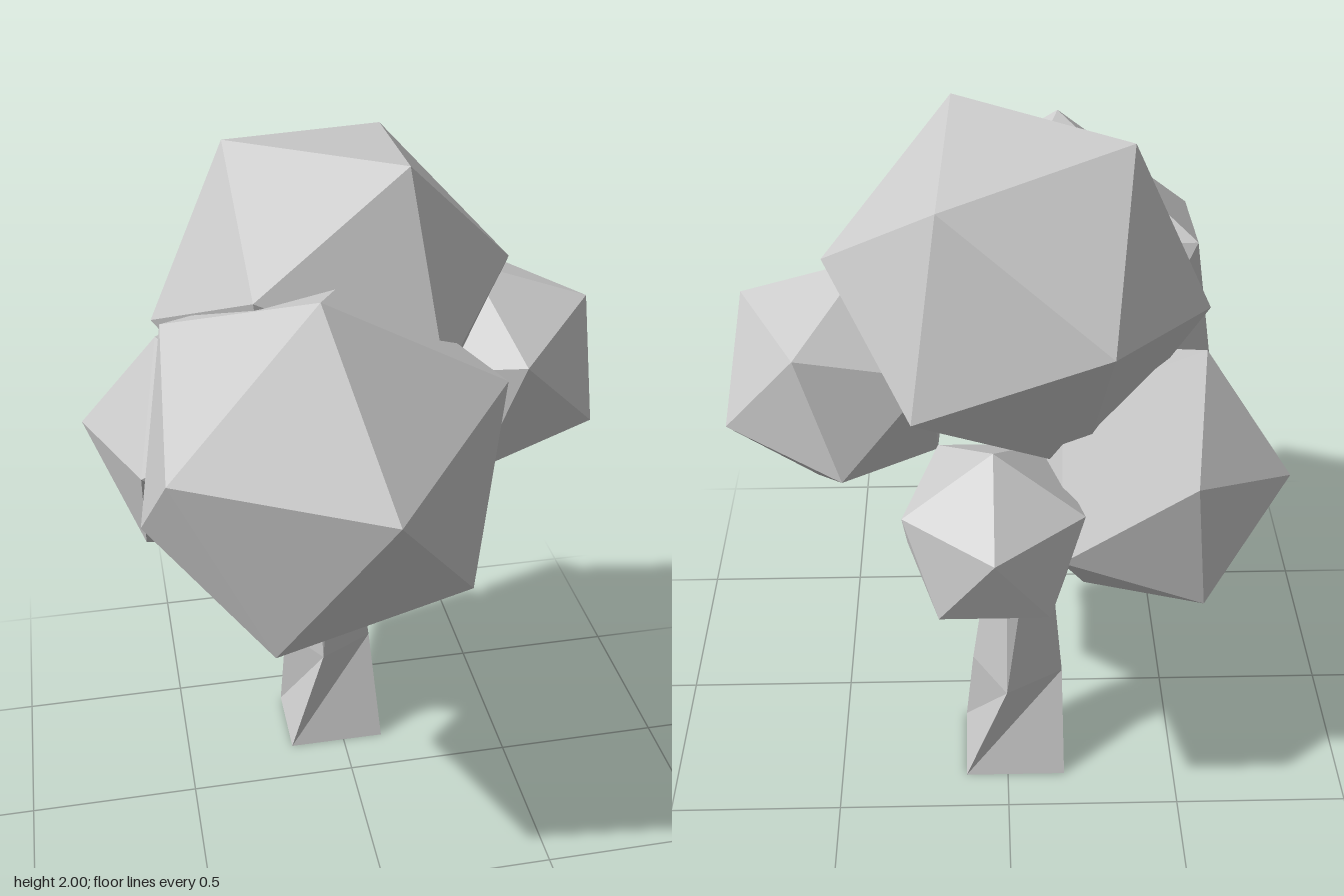
import * as THREE from 'three';

const material = new THREE.MeshStandardMaterial({ color: 0xcccccc, flatShading: true });

// Icosahedron at a centre, turned so that two adjacent corners point along a and b
function leafClump(name, radius, centre, a, b) {
  const c = new THREE.Vector3(...centre);
  const va = new THREE.Vector3(...a).sub(c).normalize();
  const vb = new THREE.Vector3(...b).sub(c).normalize();
  const y = va.clone().add(vb).normalize();
  const x = vb.clone().sub(va).normalize();
  const z = x.clone().cross(y);
  const geometry = new THREE.IcosahedronGeometry(radius, 0);
  geometry.applyMatrix4(new THREE.Matrix4().makeBasis(x, y, z).setPosition(c));
  const mesh = new THREE.Mesh(geometry, material);
  mesh.name = name;
  return mesh;
}

// Four-sided trunk lofted through rings of corners, listed counterclockwise from above
function trunk() {
  const rings = [
    [0, [[-0.17, -0.138], [0.125, -0.138], [0.125, -0.385], [-0.17, -0.385]]],
    [0.35, [[-0.063, -0.14], [0.10, -0.23], [0.003, -0.38], [-0.16, -0.29]]],
    [1.1, [[-0.088, -0.18], [0.0, -0.18], [0.0, -0.28], [-0.088, -0.28]]],
  ].map(([y, corners]) => corners.map(([x, z]) => [x, y, z]));

  const points = [];
  const quad = (a, b, c, d) => points.push(...a, ...b, ...c, ...a, ...c, ...d);
  for (let r = 0; r < rings.length - 1; r++) {
    for (let i = 0; i < 4; i++) {
      const j = (i + 1) % 4;
      quad(rings[r][i], rings[r][j], rings[r + 1][j], rings[r + 1][i]);
    }
  }
  quad(...[...rings[0]].reverse());
  quad(...rings[rings.length - 1]);

  const geometry = new THREE.BufferGeometry();
  geometry.setAttribute('position', new THREE.Float32BufferAttribute(points, 3));
  geometry.computeVertexNormals();
  const mesh = new THREE.Mesh(geometry, material);
  mesh.name = 'trunk';
  return mesh;
}

export function createModel() {
  const tree = new THREE.Group();
  tree.name = 'tree';
  tree.add(
    trunk(),
    leafClump('frontFoliage', 0.526, [-0.135, 1.305, 0.235], [-0.15, 1.81, 0.39], [-0.03, 1.4, 0.74]),
    leafClump('topFoliage', 0.491, [-0.027, 1.595, -0.159], [-0.296, 2.0, -0.217], [0.13, 2.0, 0.067]),
    leafClump('leftFoliage', 0.329, [0.429, 1.332, -0.155], [0.717, 1.268, -0.3], [0.675, 1.54, -0.095]),
    leafClump('rightFoliage', 0.38, [-0.355, 1.103, -0.3], [-0.72, 1.137, -0.37], [-0.5, 1.45, -0.25]),
    leafClump('backFoliage', 0.263, [0.04, 1.082, -0.502], [-0.098, 0.94, -0.69], [0.178, 0.94, -0.69]),
  );
  return tree;
}
